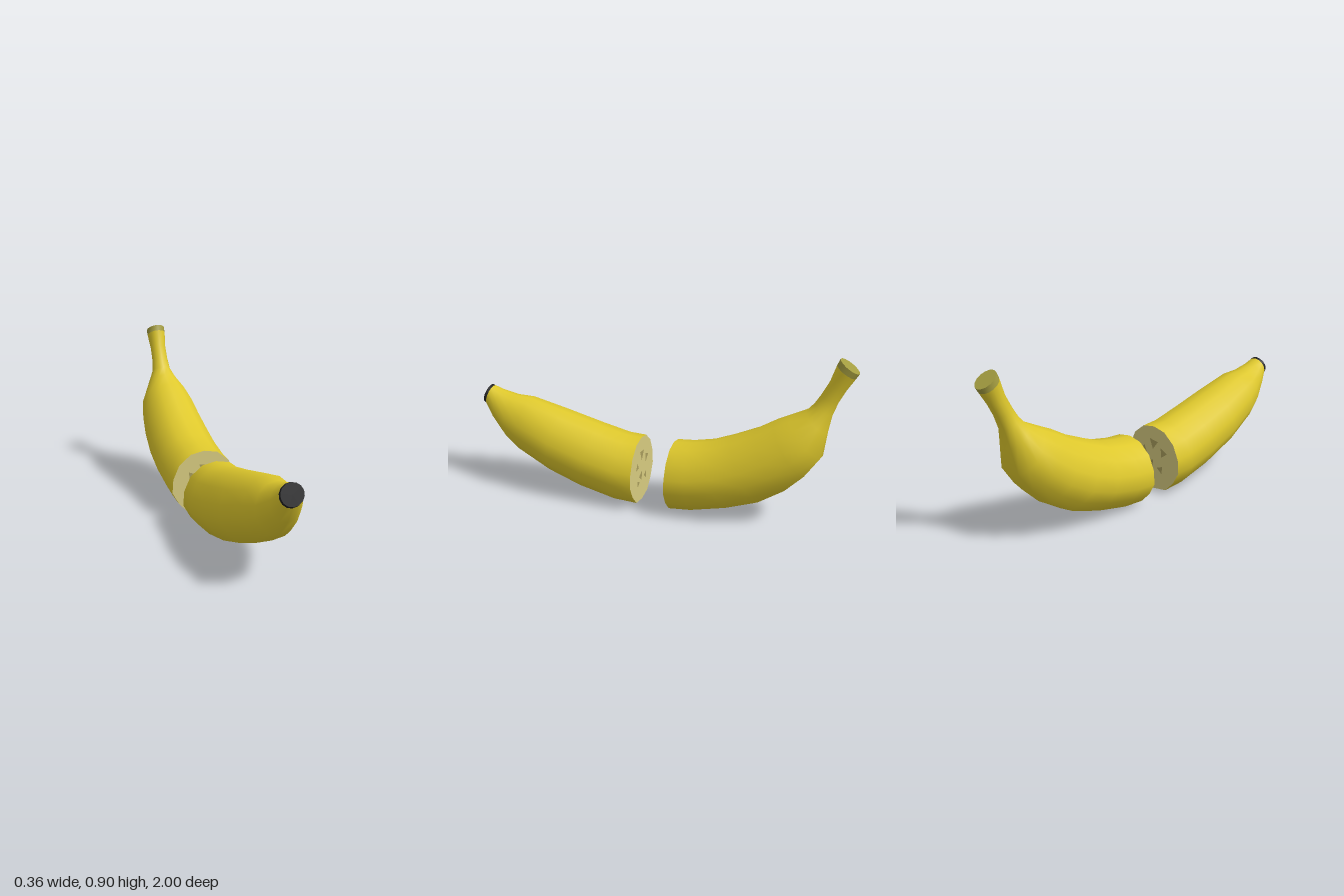
import * as THREE from 'three';

// Right half of the peel cross-section, bottom to top (across, up)
const HALF = [[0, -1], [0.48, -0.92], [0.79, -0.6], [1, -0.22], [0.97, 0.2], [0.78, 0.62], [0.42, 0.92], [0, 1]];
const SECTION = [...HALF, ...HALF.slice(1, -1).reverse().map(([x, y]) => [-x, y])];
const N = SECTION.length;

// Each ring: top z, top y, bottom z, bottom y, half width, roundness (0 peel, 1 circle)
function ringPoints([tz, ty, bz, by, w, round = 0]) {
  return SECTION.map(([u, v], i) => {
    const a = (i / N) * Math.PI * 2;
    const x = THREE.MathUtils.lerp(u, Math.sin(a), round) * w;
    const t = (THREE.MathUtils.lerp(v, -Math.cos(a), round) + 1) / 2;
    return new THREE.Vector3(x, by + (ty - by) * t, bz + (tz - bz) * t);
  });
}

function build(points, index) {
  const g = new THREE.BufferGeometry().setFromPoints(points);
  g.setIndex(index);
  g.computeVertexNormals();
  return g;
}

// Smooth skin through rings listed in order of rising z
function loft(rings) {
  const index = [];
  for (let r = 0; r < rings.length - 1; r++) {
    for (let i = 0; i < N; i++) {
      const j = (i + 1) % N, a = r * N + i, b = r * N + j;
      index.push(a, b, b + N, a, b + N, a + N);
    }
  }
  return build(rings.flatMap(ringPoints), index);
}

// Flat end closing a ring, facing +z or -z
function cap(ring, facing) {
  const pts = ringPoints(ring);
  const centre = pts.reduce((s, p) => s.add(p), new THREE.Vector3()).divideScalar(N);
  const index = [];
  for (let i = 0; i < N; i++) {
    const j = (i + 1) % N;
    index.push(N, ...(facing > 0 ? [i, j] : [j, i]));
  }
  return build([...pts, centre], index);
}

export function createModel() {
  const group = new THREE.Group();
  group.name = 'cutBanana';
  const mat = (color) => new THREE.MeshStandardMaterial({ color });
  const peel = mat(0xdec82c), flesh = mat(0xd8cc80), seedMat = mat(0xa89d5c);
  const black = mat(0x202022), stemMat = mat(0xa39c40);
  const add = (name, geometry, material) => {
    const mesh = new THREE.Mesh(geometry, material);
    mesh.name = name;
    group.add(mesh);
  };

  // Front half, from the cut to the blossom end
  const front = [
    [0.09, 0.365, 0.09, 0.005, 0.18],
    [0.18, 0.37, 0.22, 0.012, 0.18],
    [0.33, 0.405, 0.42, 0.06, 0.177],
    [0.54, 0.46, 0.6, 0.125, 0.167],
    [0.73, 0.51, 0.79, 0.22, 0.136],
    [0.82, 0.515, 0.87, 0.28, 0.11, 0.2],
    [0.9, 0.535, 0.945, 0.37, 0.078, 0.6],
    [0.952, 0.555, 0.987, 0.45, 0.057, 1],
  ];
  const blossom = [0.966, 0.56, 1, 0.46, 0.056, 1];
  add('frontPeel', loft(front), peel);
  add('blossomRim', loft([front.at(-1), blossom]), black);
  add('blossomEnd', cap(blossom, 1), black);

  // Rear half, from the cut up into the stem
  const rear = [
    [-0.09, 0.365, -0.09, 0.005, 0.18],
    [-0.18, 0.372, -0.21, 0.015, 0.18],
    [-0.29, 0.395, -0.4, 0.06, 0.18],
    [-0.4, 0.44, -0.57, 0.12, 0.177],
    [-0.52, 0.495, -0.7, 0.205, 0.168],
    [-0.61, 0.55, -0.79, 0.295, 0.155],
    [-0.69, 0.59, -0.86, 0.4, 0.132],
    [-0.765, 0.63, -0.875, 0.53, 0.085, 0.4],
    [-0.8, 0.67, -0.89, 0.62, 0.052, 0.9],
    [-0.83, 0.72, -0.915, 0.69, 0.045, 1],
    [-0.865, 0.79, -0.945, 0.75, 0.044, 1],
    [-0.892, 0.875, -0.985, 0.815, 0.052, 1],
  ];
  const stemTip = [-0.905, 0.905, -1, 0.84, 0.052, 1];
  add('rearPeel', loft([...rear].reverse()), peel);
  add('stemRim', loft([stemTip, rear.at(-1)]), stemMat);
  add('stemEnd', cap(stemTip, -1), stemMat);

  // Flat cut faces with small triangular seed marks
  const seeds = [[0, 0.27, 0.035, 0.4], [0.07, 0.22, 0.025, 1.5], [-0.07, 0.23, 0.03, 2.2],
    [0.02, 0.15, 0.03, 0.9], [-0.05, 0.13, 0.025, 3], [0.06, 0.12, 0.022, 0.1]];
  for (const [side, ring, facing] of [['front', front[0], -1], ['rear', rear[0], 1]]) {
    add(side + 'CutFace', cap(ring, facing), flesh);
    seeds.forEach(([x, y, r, turn], i) => {
      const g = new THREE.CircleGeometry(r, 3).rotateZ(turn);
      if (facing < 0) g.rotateY(Math.PI);
      g.translate(x, y, ring[0] + facing * 0.002);
      add(`${side}Seed${i + 1}`, g, seedMat);
    });
  }
  return group;
}
